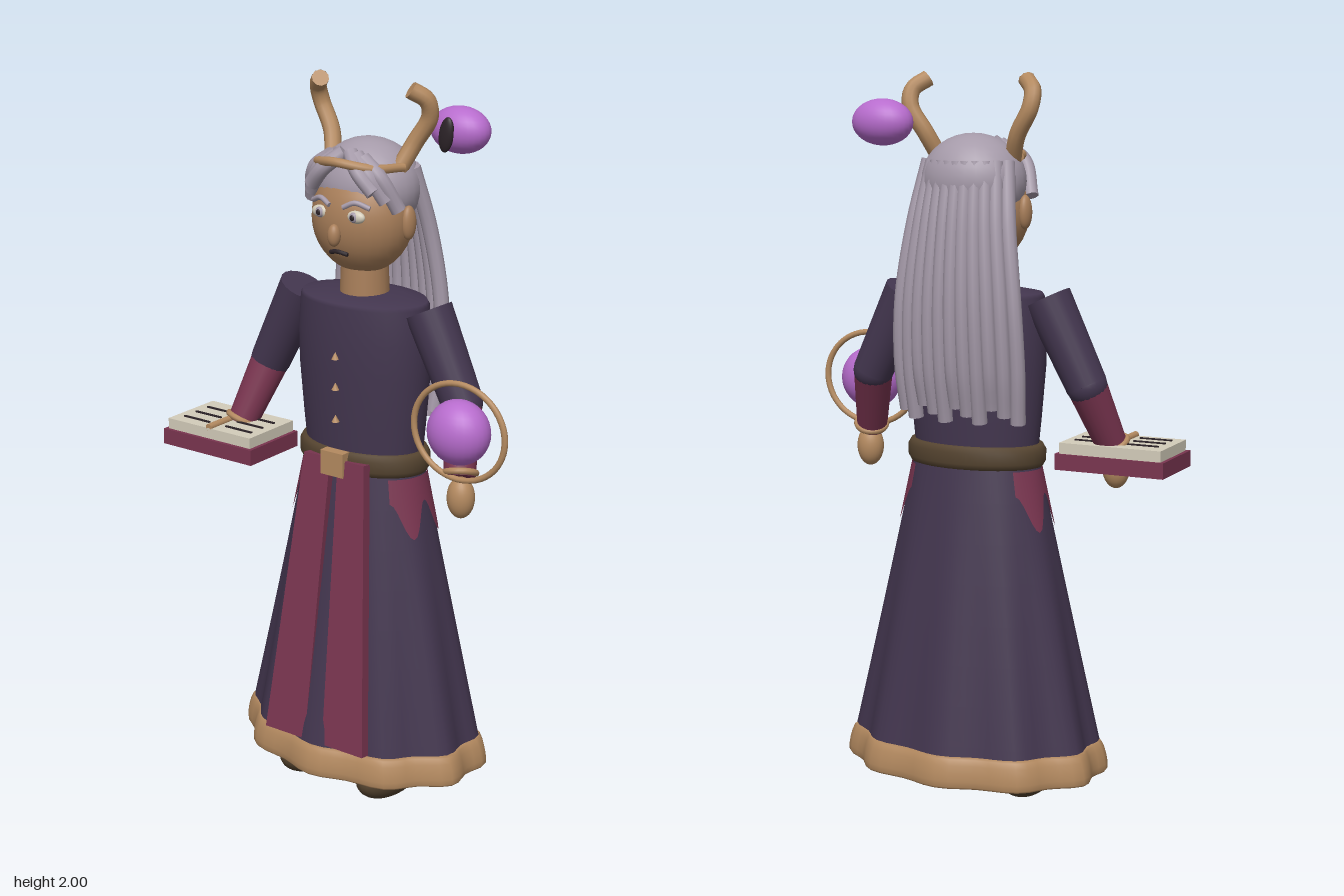
import * as THREE from 'three';
import { ParametricGeometry } from 'three/addons/geometries/ParametricGeometry.js';

const mat = (name, color, side = THREE.FrontSide) => {
  const m = new THREE.MeshStandardMaterial({ color, side });
  m.name = name;
  return m;
};
const V = (x, y, z) => new THREE.Vector3(x, y, z);

export function createModel() {
  const D = THREE.DoubleSide;
  const robe = mat('plum robe', 0x43364f, D), maroon = mat('maroon cloth', 0x7a3550, D);
  const tan = mat('tan trim', 0xb48a60, D), skin = mat('skin', 0xa97f5a);
  const brown = mat('brown leather', 0x54432f), hair = mat('lavender grey hair', 0xa59aa9);
  const purple = mat('purple glass', 0xb76ccd), cream = mat('cream', 0xd3ccba);
  const ink = mat('dark ink', 0x2c2328);
  const root = new THREE.Group();
  root.name = 'robedFigure';

  // helpers
  const add = (name, geo, m, x = 0, y = 0, z = 0) => {
    const o = new THREE.Mesh(geo, m);
    o.name = name;
    o.position.set(x, y, z);
    root.add(o);
    return o;
  };
  const ball = (name, m, x, y, z, rx, ry, rz) => {
    const o = add(name, new THREE.SphereGeometry(1, 28, 18), m, x, y, z);
    o.scale.set(rx, ry, rz);
    return o;
  };
  const box = (name, m, x, y, z, w, h, d) => add(name, new THREE.BoxGeometry(w, h, d), m, x, y, z);
  const rod = (name, m, a, b, ra, rb) => {
    const d = b.clone().sub(a), c = a.clone().add(b).multiplyScalar(0.5);
    const o = add(name, new THREE.CylinderGeometry(rb, ra, d.length(), 20), m, c.x, c.y, c.z);
    o.quaternion.setFromUnitVectors(V(0, 1, 0), d.normalize());
    return o;
  };
  const tube = (name, m, pts, r) => {
    const curve = new THREE.CatmullRomCurve3(pts);
    add(name, new THREE.TubeGeometry(curve, 24, r, 10), m);
    for (const t of [0, 1]) {
      const p = curve.getPoint(t), dir = curve.getTangent(t).multiplyScalar(t ? 1 : -1);
      add(name + 'End', new THREE.CircleGeometry(r, 10), m, p.x, p.y, p.z)
        .quaternion.setFromUnitVectors(V(0, 0, 1), dir);
    }
  };
  const lathe = (name, m, pts, depth) => {
    const geo = new THREE.LatheGeometry(pts.map(p => new THREE.Vector2(...p)), 40);
    add(name, geo, m).scale.z = depth;
  };

  // skirt: an ellipse with ten folds that fade towards the waist
  const skirt = (a, y, off, out) => {
    const t = (y - 0.18) / 0.765;
    const f = 1 + 0.033 * (1 - t) * Math.cos(10 * a);
    return out.set(Math.sin(a) * ((0.346 - 0.163 * t) * f + off), y,
      Math.cos(a) * ((0.24 - 0.115 * t) * f + off));
  };
  const TAU = Math.PI * 2;
  add('skirt', new ParametricGeometry((u, v, p) => skirt(u * TAU, 0.1 + 0.87 * v, 0, p), 60, 8), robe);
  add('hem', new ParametricGeometry((u, v, p) =>
    skirt(u * TAU, 0.14 - 0.043 * Math.cos(Math.PI * v), 0.01 * Math.sin(Math.PI * v), p), 60, 6), tan);
  const underside = (name, y, from, to, m) => add(name, new ParametricGeometry((u, v, p) => {
    const k = from + (to - from) * v;
    skirt(u * TAU, 0.1, 0, p);
    p.set(p.x * k, y, p.z * k);
  }, 60, 1), m);
  underside('skirtUnderside', 0.099, 0.01, 0.85, robe);
  underside('hemUnderside', 0.099, 0.85, 1, tan);

  // torso, belt and buttons
  lathe('torso', robe, [[0.175, 0.97], [0.186, 1.08], [0.198, 1.22], [0.2, 1.32], [0.193, 1.41],
    [0.187, 1.42], [0.12, 1.43], [0.001, 1.435]], 0.65);
  lathe('belt', brown, [[0.17, 0.945], [0.19, 0.95], [0.199, 0.965], [0.199, 0.995], [0.19, 1.01], [0.16, 1.015]], 0.66);
  box('buckle', tan, 0, 0.98, 0.135, 0.075, 0.068, 0.03);
  for (const y of [1.28, 1.195, 1.105]) {
    add('button', new THREE.ConeGeometry(0.011, 0.02, 8), tan, 0, y, 0.131);
  }

  for (const s of [-1, 1]) {
    // front panel hung flat in front of the skirt
    const shape = new THREE.Shape([[0.03, 0], [0.168, 0], [0.1, 0.81], [0.013, 0.81]]
      .map(([x, y]) => new THREE.Vector2(s * x, y)));
    add('frontPanel', new THREE.ExtrudeGeometry(shape, { depth: 0.028, bevelEnabled: false }),
      maroon, 0, 0.185, 0.212).rotation.x = -Math.atan(0.1 / 0.805);

    // pointed cloth at the hip
    add('hipCloth', new ParametricGeometry((u, v, p) => {
      const low = 0.88 - 0.1 * Math.pow(Math.sin(u * TAU), 2);
      skirt(s * (0.85 + 1.4 * u), low + (0.945 - low) * v, 0.005, p);
    }, 24, 4), maroon);

    // arm
    const elbow = V(s * 0.322, 1.18, 0.005), wrist = V(s * 0.368, 1.005, 0.08);
    rod('upperArm', robe, V(s * 0.208, 1.41, 0), elbow, 0.065, 0.056);
    ball('elbow', robe, elbow.x, elbow.y, elbow.z, 0.055, 0.055, 0.055);
    rod('cuff', maroon, elbow, wrist, 0.054, 0.042);
    const dir = wrist.clone().sub(elbow).normalize();
    add('bracelet', new THREE.TorusGeometry(0.041, 0.009, 8, 24), tan, wrist.x, wrist.y + 0.01, wrist.z - 0.003)
      .quaternion.setFromUnitVectors(V(0, 0, 1), dir);
    ball('hand', tan, s * 0.376, 0.95, 0.085, 0.038, 0.057, 0.036);

    // boot
    ball('boot', brown, s * 0.135, 0.072, 0.06, 0.069, 0.072, 0.136);

    // ear, eye and brow
    ball('ear', skin, s * 0.142, 1.635, 0, 0.018, 0.046, 0.024);
    ball('eye', cream, s * 0.057, 1.66, 0.115, 0.028, 0.017, 0.013);
    ball('iris', hair, s * 0.055, 1.66, 0.123, 0.013, 0.014, 0.008);
    ball('pupil', ink, s * 0.055, 1.66, 0.129, 0.007, 0.008, 0.004);
    tube('brow', hair, [V(s * 0.022, 1.683, 0.125), V(s * 0.055, 1.697, 0.117), V(s * 0.092, 1.684, 0.102)], 0.007);

    // fringe swept to the side
    for (let i = 0; i < 3; i++) {
      tube('fringe', hair, [V(s * (0.01 + 0.02 * i), 1.815 - 0.005 * i, 0.075),
        V(s * (0.055 + 0.025 * i), 1.775 - 0.006 * i, 0.105 - 0.014 * i),
        V(s * (0.1 + 0.02 * i), 1.725 - 0.025 * i, 0.098 - 0.028 * i)], 0.021);
    }

    // horn
    tube('horn', tan, [V(s * 0.105, 1.765, 0), V(s * 0.135, 1.84, -0.035), V(s * 0.175, 1.91, -0.045),
      V(s * 0.176, 1.955, -0.03), V(s * 0.145, 1.983, 0)], 0.023);
  }

  // head
  rod('neck', skin, V(0, 1.4, 0), V(0, 1.54, 0), 0.068, 0.062);
  ball('head', skin, 0, 1.635, 0.01, 0.143, 0.15, 0.12);
  ball('nose', skin, 0, 1.607, 0.134, 0.018, 0.03, 0.018);
  tube('mouth', ink, [V(-0.028, 1.555, 0.112), V(0, 1.56, 0.117), V(0.028, 1.555, 0.112)], 0.006);
  ball('hairCap', hair, 0, 1.715, -0.02, 0.145, 0.127, 0.127);
  tube('circlet', tan, [V(-0.125, 1.78, 0), V(-0.09, 1.785, 0.085), V(0, 1.8, 0.13),
    V(0.09, 1.785, 0.085), V(0.125, 1.78, 0)], 0.012);

  // long strands down the back
  const n = 11;
  for (let i = 0; i < n; i++) {
    const k = (i / (n - 1)) * 2 - 1, c = 1 - k * k;
    tube('backStrand', hair, [V(0.115 * k, 1.77, -0.055 - 0.06 * c), V(0.14 * k, 1.6, -0.1 - 0.045 * c),
      V(0.165 * k, 1.4, -0.12 - 0.04 * c), V(0.172 * k, 1.22, -0.11 - 0.04 * c),
      V(0.165 * k, 1.08 + 0.02 * (i % 3), -0.09 - 0.035 * c)], 0.021);
  }

  // ornament on the left horn
  ball('hornOrnament', purple, 0.22, 1.87, -0.12, 0.087, 0.062, 0.06);
  ball('ornamentSeed', ink, 0.215, 1.865, -0.062, 0.022, 0.047, 0.012).rotation.z = -0.15;

  // orb and ring in the left hand
  ball('orb', purple, 0.385, 1.14, 0.112, 0.088, 0.087, 0.073);
  add('orbRing', new THREE.TorusGeometry(0.13, 0.008, 10, 48), tan, 0.385, 1.14, 0.112).scale.x = 1.09;

  // open book on the right hand
  box('bookCover', maroon, -0.384, 0.966, 0.112, 0.313, 0.044, 0.206);
  box('bookPages', cream, -0.384, 1.003, 0.11, 0.292, 0.03, 0.19);
  rod('bookmark', tan, V(-0.384, 1.02, 0.06), V(-0.384, 1.02, 0.205), 0.01, 0.01);
  for (const x of [-0.458, -0.308]) {
    for (const z of [0.068, 0.118, 0.167]) box('writtenLine', ink, x, 1.019, z, 0.092, 0.005, 0.007);
  }
  return root;
}
